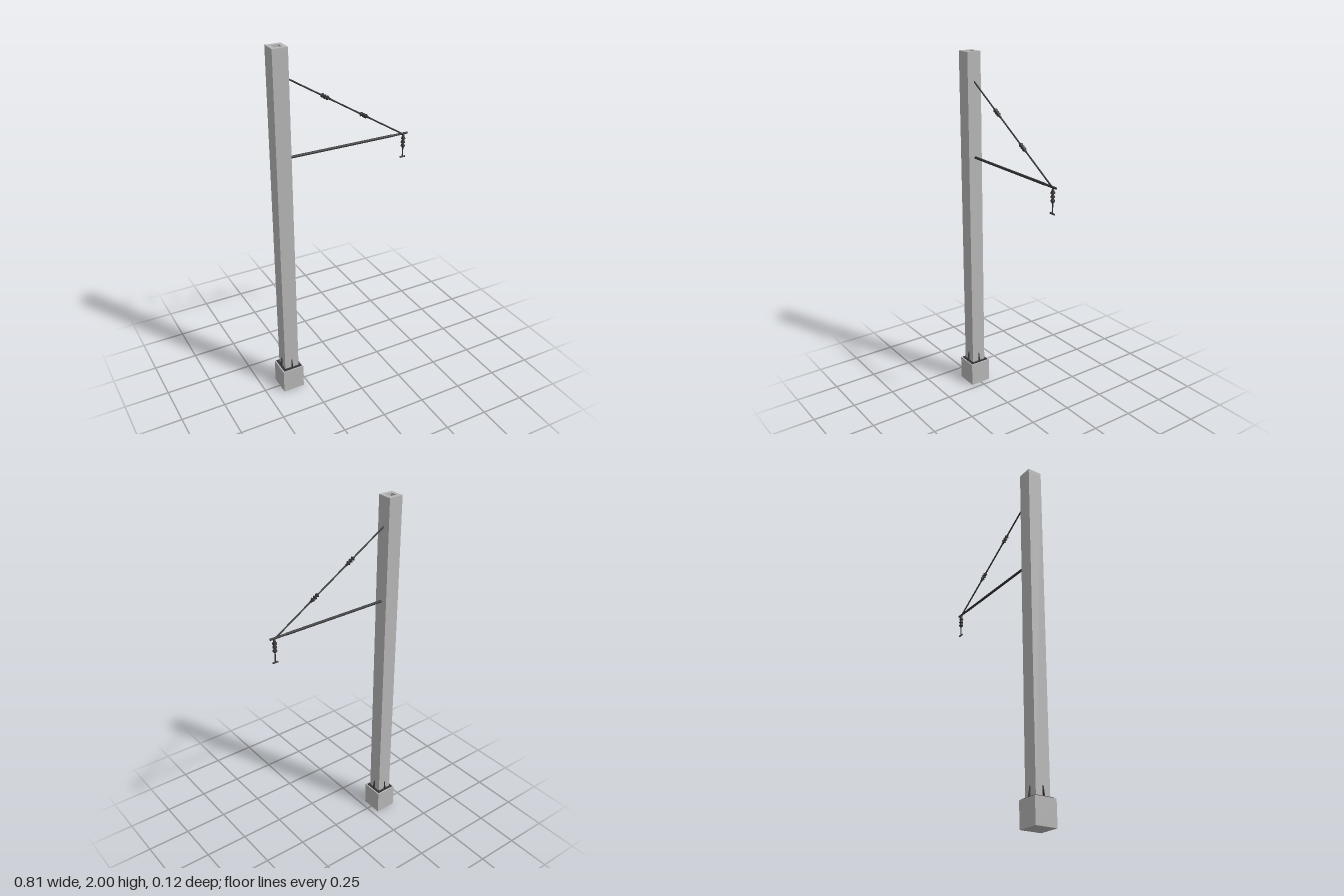
import * as THREE from 'three';

export function createModel() {
  const model = new THREE.Group();
  const concrete = new THREE.MeshStandardMaterial({ color: 0xb6b6b6 });
  concrete.name = 'concrete';
  const steel = new THREE.MeshStandardMaterial({ color: 0x343436 });
  steel.name = 'darkSteel';

  const add = (parent, name, geometry, material, x = 0, y = 0, z = 0) => {
    const mesh = new THREE.Mesh(geometry, material);
    mesh.name = name;
    mesh.position.set(x, y, z);
    parent.add(mesh);
    return mesh;
  };
  const square = (Type, w) => {
    const h = w / 2;
    return new Type([[-h, -h], [h, -h], [h, h], [-h, h]].map(p => new THREE.Vector2(...p)));
  };

  // Foundation, base plate and pole share one axis
  const mast = new THREE.Group();
  mast.name = 'mast';
  mast.position.x = -0.345;
  model.add(mast);
  const BASE = 0.138, POLE = 0.083, TOP = 2, RECESS = 0.02;
  add(mast, 'foundation', new THREE.BoxGeometry(0.124, BASE, 0.124), concrete, 0, BASE / 2);
  add(mast, 'basePlate', new THREE.BoxGeometry(0.108, 0.005, 0.108), steel, 0, BASE + 0.0025);
  const shaftHeight = TOP - RECESS - BASE;
  add(mast, 'pole', new THREE.BoxGeometry(POLE, shaftHeight, POLE), concrete, 0, BASE + shaftHeight / 2);

  // Open pole head with a dark floor in the recess
  const rim = square(THREE.Shape, POLE);
  rim.holes.push(square(THREE.Path, 0.04));
  const rimGeo = new THREE.ExtrudeGeometry(rim, { depth: RECESS, bevelEnabled: false });
  rimGeo.rotateX(-Math.PI / 2);
  add(mast, 'poleHead', rimGeo, concrete, 0, TOP - RECESS);
  add(mast, 'recessFloor', new THREE.BoxGeometry(0.04, 0.003, 0.04), steel, 0, TOP - RECESS + 0.0015);

  // Triangular gusset in the middle of each pole face
  const fin = new THREE.Shape([[0, 0], [0.0125, 0], [0.0115, 0.012], [0.003, 0.055], [0, 0.055]]
    .map(p => new THREE.Vector2(...p)));
  const finGeo = new THREE.ExtrudeGeometry(fin, { depth: 0.004, bevelEnabled: false });
  finGeo.translate(POLE / 2, BASE + 0.004, -0.002);
  for (let i = 0; i < 4; i++) {
    add(mast, 'gusset', finGeo, steel).rotation.y = i * Math.PI / 2;
  }

  // Round bar between two points
  const bar = (name, a, b, r) => {
    const from = new THREE.Vector3(...a), dir = new THREE.Vector3(...b).sub(from);
    const mesh = add(model, name, new THREE.CylinderGeometry(r, r, dir.length(), 12), steel);
    mesh.position.copy(from).addScaledVector(dir, 0.5);
    mesh.quaternion.setFromUnitVectors(new THREE.Vector3(0, 1, 0), dir.normalize());
    return mesh;
  };
  bar('boom', [-0.306, 1.425, 0], [0.31, 1.425, 0], 0.0072);
  bar('boomTip', [0.31, 1.425, 0], [0.405, 1.425, 0], 0.006);
  const stayStart = [-0.306, 1.842, 0], stayEnd = [0.372, 1.425, 0];
  const stay = bar('stayRod', stayStart, stayEnd, 0.0042);

  // Insulator: flared sheds stacked along a core
  const insulator = (name, count, pitch, radius) => {
    const group = new THREE.Group();
    group.name = name;
    const half = count * pitch / 2, core = radius * 0.5;
    const points = [[0, -half - 0.006], [core, -half - 0.006]];
    for (let i = 0; i < count; i++) {
      const y = -half + i * pitch;
      points.push([core, y], [radius, y + 0.001], [radius, y + 0.005], [core, y + pitch * 0.8]);
    }
    points.push([core, half + 0.006], [0, half + 0.006]);
    const geo = new THREE.LatheGeometry(points.map(p => new THREE.Vector2(...p)), 14);
    add(group, 'sheds', geo, steel);
    model.add(group);
    return group;
  };
  for (const t of [0.32, 0.65]) {
    const part = insulator('stayInsulator', 3, 0.016, 0.0115);
    part.position.set(...stayStart).lerp(new THREE.Vector3(...stayEnd), t);
    part.quaternion.copy(stay.quaternion);
  }

  // Hanging insulator with stem and wire clamp
  const HANG = 0.38;
  insulator('hangingInsulator', 3, 0.021, 0.012).position.set(HANG, 1.382, 0);
  bar('hangerStem', [HANG, 1.425, 0], [HANG, 1.288, 0], 0.0035);
  bar('wireClamp', [HANG - 0.016, 1.289, 0], [HANG + 0.016, 1.289, 0], 0.0045);

  return model;
}
